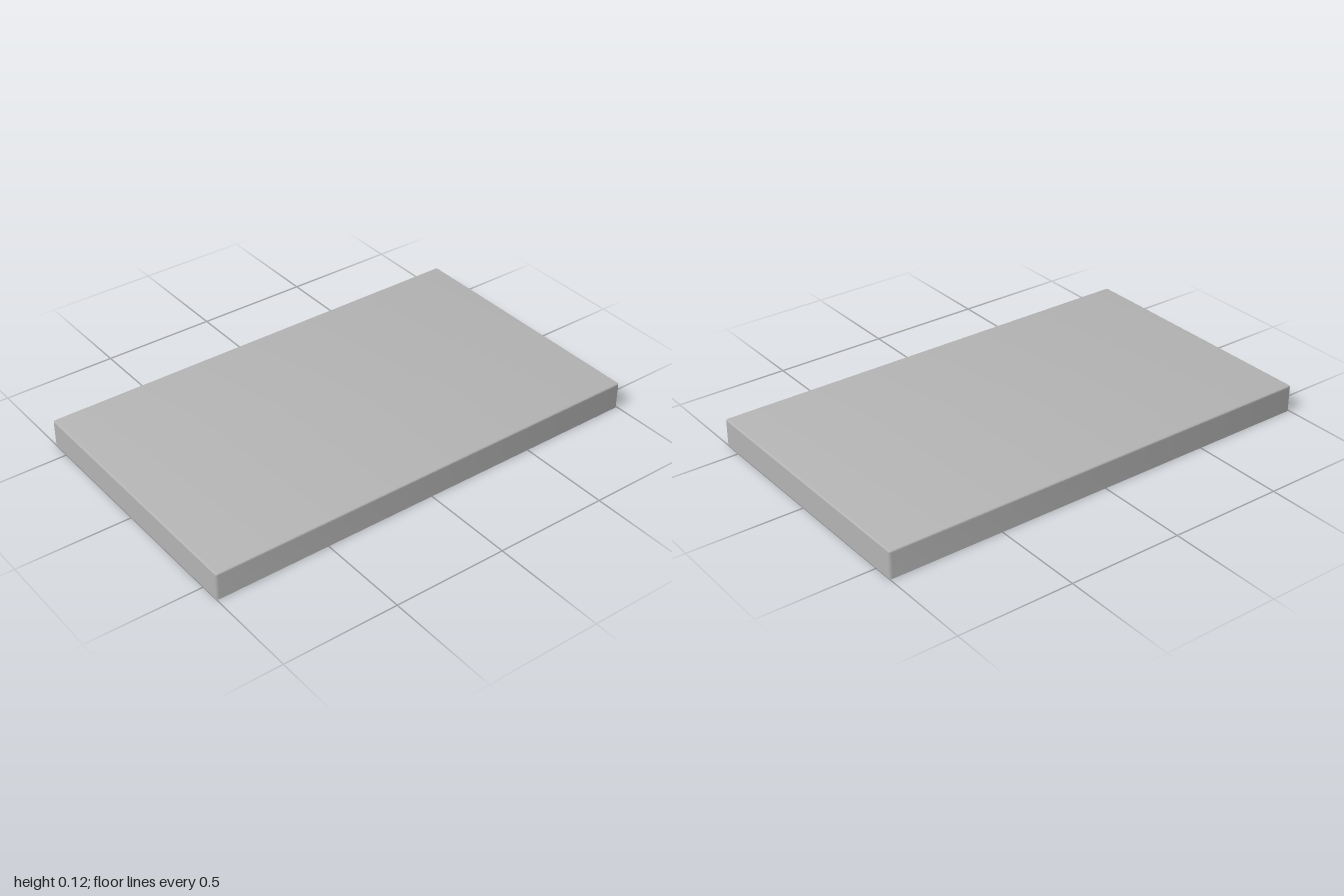
import * as THREE from 'three';
import { toCreasedNormals } from 'three/addons/utils/BufferGeometryUtils.js';

const HALF_X = 0.59, HALF_Z = 1, HEIGHT = 0.12, WALL = 0.02, BEVEL = 0.008;
const CEILING = 0.092, CAP_BOTTOM = HEIGHT - 2 * BEVEL;

// Rectangle outline with rounded corners
function roundedRect(hx, hz, r, Type = THREE.Shape) {
  const s = new Type();
  s.moveTo(hx, -hz + r);
  s.lineTo(hx, hz - r);
  s.absarc(hx - r, hz - r, r, 0, Math.PI / 2);
  s.absarc(-hx + r, hz - r, r, Math.PI / 2, Math.PI);
  s.absarc(-hx + r, -hz + r, r, Math.PI, Math.PI * 1.5);
  s.absarc(hx - r, -hz + r, r, Math.PI * 1.5, Math.PI * 2);
  return s;
}

// Extrudes a plan outline upward from height y
function slab(name, shape, y, depth, material, options = {}) {
  const geometry = new THREE.ExtrudeGeometry(shape, { depth, bevelEnabled: false, curveSegments: 4, ...options });
  geometry.rotateX(-Math.PI / 2);
  const mesh = new THREE.Mesh(toCreasedNormals(geometry, 0.6), material);
  mesh.position.y = y;
  mesh.name = name;
  return mesh;
}

export function createModel() {
  const grey = new THREE.MeshStandardMaterial({ color: 0xb3b3b3 });
  grey.name = 'grey plastic';
  const lid = new THREE.Group();
  lid.name = 'lid';

  // Skirt wall, open underneath
  const ring = roundedRect(HALF_X, HALF_Z, 0.01);
  ring.holes.push(roundedRect(HALF_X - WALL, HALF_Z - WALL, 0.004, THREE.Path));
  lid.add(slab('skirt', ring, 0, HEIGHT - BEVEL, grey));

  // Top plate with a rounded upper edge
  const top = roundedRect(HALF_X - BEVEL, HALF_Z - BEVEL, 0.002);
  lid.add(slab('topPlate', top, CAP_BOTTOM + BEVEL, 0.0001, grey, {
    bevelEnabled: true, bevelSize: BEVEL, bevelThickness: BEVEL - 0.0001, bevelSegments: 3,
  }));

  // Honeycomb of shallow cells in the ceiling
  const ceiling = roundedRect(HALF_X - WALL + 0.002, HALF_Z - WALL + 0.002, 0.004);
  const pitch = 0.125, rows = 17, radius = 0.063;
  for (let row = 0; row < rows; row++) {
    const count = row % 2 ? 7 : 8;
    const z = (row - (rows - 1) / 2) * pitch * 0.866;
    for (let i = 0; i < count; i++) {
      const x = (i - (count - 1) / 2) * pitch;
      const corners = [];
      for (let k = 0; k < 6; k++) {
        const a = Math.PI / 6 + k * Math.PI / 3;
        corners.push(new THREE.Vector2(x + radius * Math.cos(a), z + radius * Math.sin(a)));
      }
      ceiling.holes.push(new THREE.Path(corners));
    }
  }
  lid.add(slab('honeycombCeiling', ceiling, CEILING, CAP_BOTTOM - CEILING + 0.001, grey));

  // Small snap bumps inside both long walls
  const bump = new THREE.SphereGeometry(0.013, 16, 10);
  for (const side of [-1, 1]) {
    for (const z of [-0.765, -0.255, 0.255, 0.765]) {
      const mesh = new THREE.Mesh(bump, grey);
      mesh.name = 'snapBump';
      mesh.scale.x = 0.6;
      mesh.position.set(side * (HALF_X - WALL), 0.041, z);
      lid.add(mesh);
    }
  }
  return lid;
}
